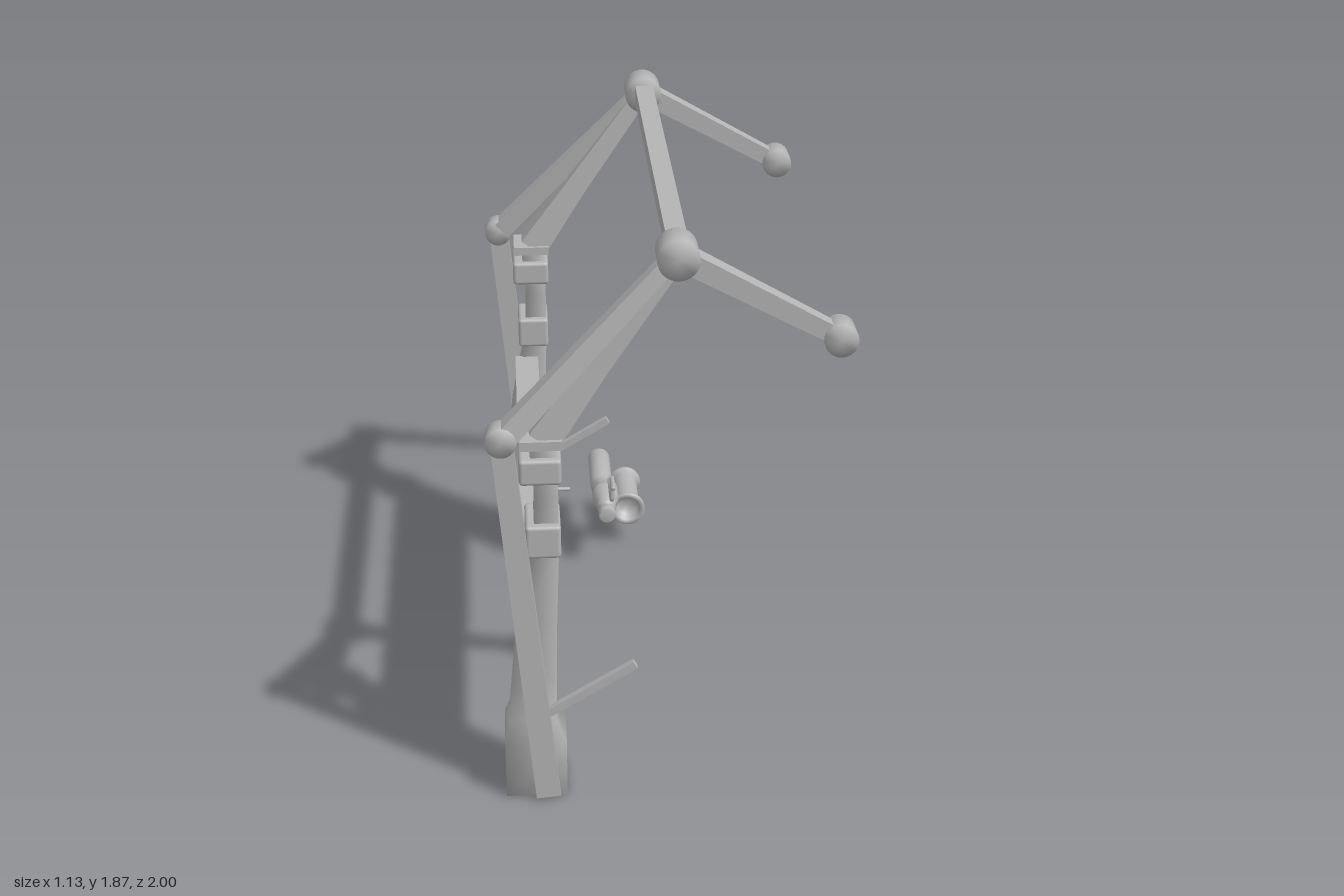
import * as THREE from 'three';
import { mergeVertices } from 'three/addons/utils/BufferGeometryUtils.js';
import { RoundedBoxGeometry } from 'three/addons/geometries/RoundedBoxGeometry.js';

const metal = new THREE.MeshStandardMaterial({ color: 0xb4b4b4 });
metal.name = 'grey metal';

// Four-sided loft; each section is [x, y, z, in-plane width, z depth]
function loft(sections, { upright = false, smooth = false } = {}) {
  const pos = [], index = [], last = sections.length - 1;
  sections.forEach(([x, y, z, w, d], i) => {
    const a = sections[Math.max(i - 1, 0)], b = sections[Math.min(i + 1, last)];
    const u = upright ? new THREE.Vector2(0, 1) : new THREE.Vector2(b[0] - a[0], b[1] - a[1]).normalize();
    for (const [s, t] of [[1, 1], [-1, 1], [-1, -1], [1, -1]]) {
      pos.push(x - u.y * s * w / 2, y + u.x * s * w / 2, z + t * d / 2);
    }
    if (i === last) return;
    for (let k = 0; k < 4; k++) {
      const p = i * 4 + k, q = i * 4 + (k + 1) % 4;
      index.push(p, q, q + 4, p, q + 4, p + 4);
    }
  });
  const e = last * 4;
  index.push(0, 2, 1, 0, 3, 2, e, e + 1, e + 2, e, e + 2, e + 3);
  let geo = new THREE.BufferGeometry();
  geo.setAttribute('position', new THREE.Float32BufferAttribute(pos, 3));
  geo.setIndex(index);
  if (!smooth) geo = geo.toNonIndexed();
  geo.computeVertexNormals();
  return geo;
}

// Short drum along z, shaded softly over its rims
function drum(r, length) {
  let geo = new THREE.CylinderGeometry(r, r, length, 32);
  geo.deleteAttribute('normal');
  geo.deleteAttribute('uv');
  geo = mergeVertices(geo);
  geo.computeVertexNormals();
  return geo.rotateX(Math.PI / 2);
}

// Lathe along z; points are [radius, z]
function turned(points) {
  const pts = points.map(([r, z]) => new THREE.Vector2(r, z));
  return new THREE.LatheGeometry(pts, 28).rotateX(Math.PI / 2);
}

function add(group, name, geo, x = 0, y = 0, z = 0) {
  const mesh = new THREE.Mesh(geo, metal);
  mesh.name = name;
  mesh.position.set(x, y, z);
  group.add(mesh);
  return mesh;
}

// One davit: post, collars, bent arm, outer arm and back strut
function davit(name, postZ, topZ, kneeZ, footZ, leverZ) {
  const g = new THREE.Group();
  g.name = name;
  add(g, 'post', loft([
    [-0.432, 0, postZ, 0.196, 0.2],
    [-0.432, 0.2, postZ, 0.196, 0.2],
    [-0.438, 0.26, postZ, 0.148, 0.14],
    [-0.43, 0.4, postZ, 0.138, 0.132],
    [-0.418, 0.6, postZ, 0.122, 0.128],
    [-0.387, 0.86, postZ, 0.08, 0.125],
    [-0.382, 1.05, postZ, 0.072, 0.125],
    [-0.39, 1.22, postZ, 0.085, 0.125],
  ], { upright: true, smooth: true }));
  add(g, 'lowerCollar', new RoundedBoxGeometry(0.11, 0.11, 0.178, 2, 0.012), -0.395, 0.905, postZ);
  add(g, 'upperCollar', new RoundedBoxGeometry(0.13, 0.085, 0.17, 2, 0.012), -0.4, 1.14, postZ);
  add(g, 'topPlate', new THREE.BoxGeometry(0.128, 0.03, 0.148), -0.396, 1.225, postZ);
  add(g, 'bentArm', loft([
    [-0.39, 1.23, postZ, 0.1, 0.12],
    [-0.225, 1.465, postZ, 0.075, 0.09],
    [0.01, 1.79, topZ, 0.055, 0.06],
  ]));
  add(g, 'diagonalBrace', loft([[-0.515, 1.26, kneeZ, 0.068, 0.07], [0.01, 1.8, topZ, 0.05, 0.05]]));
  add(g, 'outerArm', loft([[0.02, 1.805, topZ, 0.068, 0.075], [0.505, 1.538, topZ + 0.005, 0.055, 0.055]]));
  add(g, 'backStrut', loft([[-0.395, 0.012, footZ, 0.078, 0.06], [-0.515, 1.26, kneeZ, 0.068, 0.06]]));
  add(g, 'topJoint', drum(0.064, 0.112), 0.02, 1.805, topZ);
  add(g, 'endJoint', drum(0.052, 0.092), 0.51, 1.535, topZ + 0.005);
  add(g, 'kneeJoint', drum(0.047, 0.072), -0.517, 1.263, kneeZ);
  add(g, 'lever', loft([[-0.41, 0.305, leverZ, 0.026, 0.024], [-0.115, 0.483, leverZ, 0.026, 0.024]]));
  return g;
}

function winch() {
  const g = new THREE.Group();
  g.name = 'winch';
  add(g, 'motor', drum(0.042, 0.24), -0.147, 0.265, -0.855);
  // Gear housing with stepped nose
  add(g, 'gearHousing', turned([
    [0, -0.79], [0.046, -0.79], [0.05, -0.775], [0.05, -0.69], [0.036, -0.65], [0.036, -0.622],
    [0.02, -0.615], [0.02, -0.6], [0.032, -0.592], [0.032, -0.555], [0.026, -0.548], [0, -0.548],
  ]), -0.133, 0.225, 0);
  // Hollow flanged drum
  add(g, 'spool', turned([
    [0, -0.96], [0.045, -0.96], [0.048, -0.998], [0.062, -0.998], [0.062, -0.985], [0.047, -0.97],
    [0.047, -0.785], [0.066, -0.76], [0.066, -0.745], [0.047, -0.745], [0.04, -0.785], [0, -0.785],
  ]), -0.045, 0.152, 0);
  // Bent hand crank
  const path = new THREE.CurvePath();
  const p = [[0.395, -0.44], [0.395, -0.53], [0.385, -0.545], [0.3, -0.545], [0.288, -0.56], [0.288, -0.75]]
    .map(([y, z]) => new THREE.Vector3(-0.115, y, z));
  for (let i = 1; i < p.length; i++) path.add(new THREE.LineCurve3(p[i - 1], p[i]));
  add(g, 'crank', new THREE.TubeGeometry(path, 60, 0.009, 8));
  for (const end of [p[0], p[5]]) add(g, 'crankEnd', drum(0.009, 0.006), end.x, end.y, end.z);
  // Peg fixing on the post
  add(g, 'pegPlate', new THREE.BoxGeometry(0.012, 0.06, 0.05), -0.332, 0.21, -0.83);
  add(g, 'peg', new THREE.CylinderGeometry(0.008, 0.008, 0.08, 10).rotateZ(Math.PI / 2), -0.305, 0.205, -0.83);
  return g;
}

export function createModel() {
  const model = new THREE.Group();
  model.name = 'davitFrame';
  model.add(davit('leftDavit', 0.864, 0.865, 0.957, 0.967, 0.975));
  model.add(davit('rightDavit', -0.82, -0.825, -0.88, -0.912, -0.863));

  // Cross members
  add(model, 'topBar', new THREE.BoxGeometry(0.064, 0.06, 1.66), 0.022, 1.81, 0.02);
  add(model, 'beamWeb', new THREE.BoxGeometry(0.055, 0.2, 1.58), -0.422, 0.63, 0.022);
  for (const [name, y] of [['beamLowerFlange', 0.498], ['beamUpperFlange', 0.762]]) {
    add(model, name, new THREE.BoxGeometry(0.085, 0.077, 1.58), -0.422, y, 0.022);
  }
  model.add(winch());
  return model;
}
